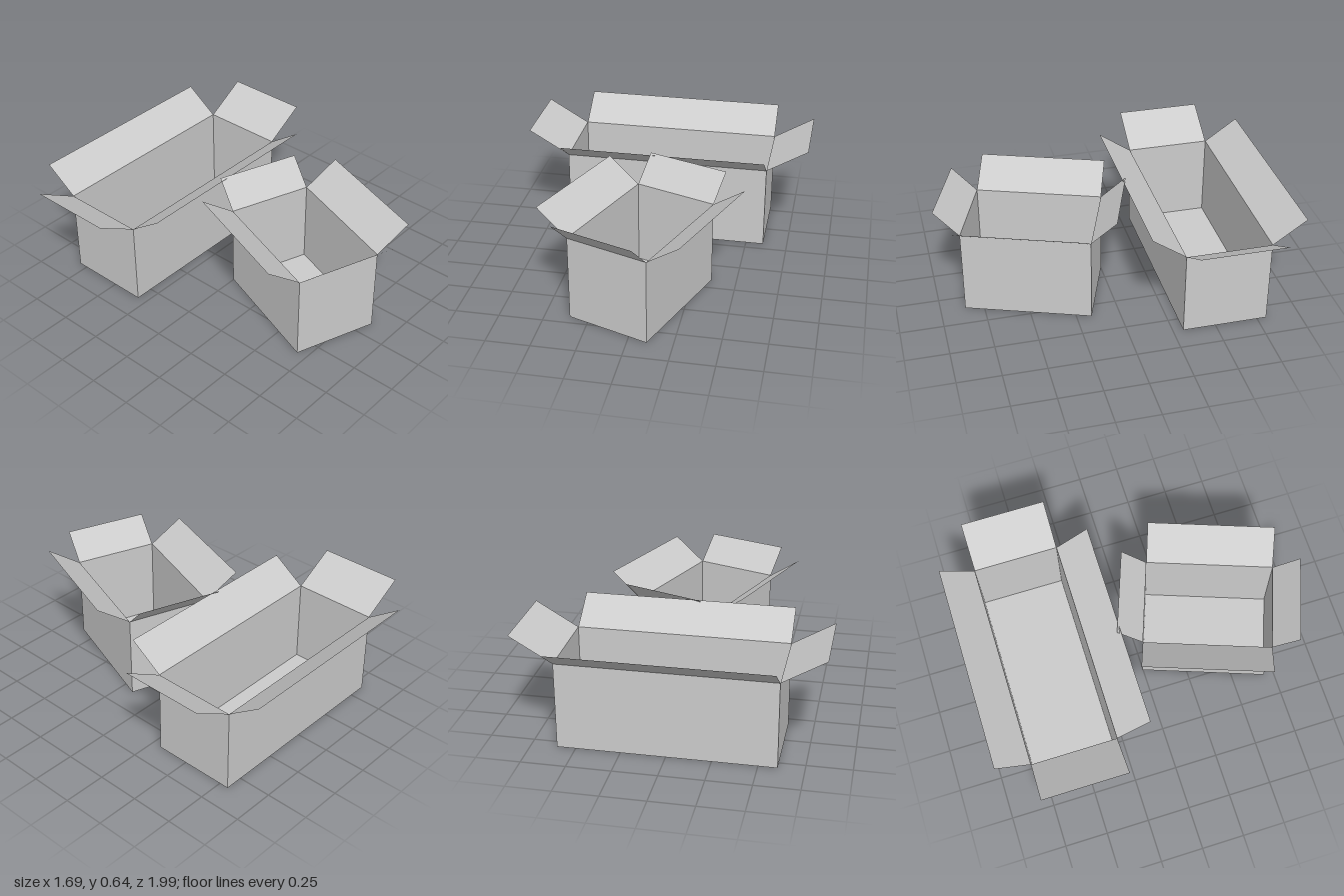
import * as THREE from 'three';

const cardboard = new THREE.MeshStandardMaterial({ color: 0xcccccc, side: THREE.DoubleSide, flatShading: true });

// Flat four-cornered sheet, corners counter-clockwise seen from outside
function panel(name, a, b, c, d) {
  const geometry = new THREE.BufferGeometry();
  geometry.setAttribute('position', new THREE.Float32BufferAttribute([a, b, c, d].flat(), 3));
  geometry.setIndex([0, 1, 2, 0, 2, 3]);
  geometry.computeVertexNormals();
  const mesh = new THREE.Mesh(geometry, cardboard);
  mesh.name = name;
  return mesh;
}

// Open carton: floor, four walls and a splayed flap hinged on each wall.
// Flap sizes are [outward reach, rise].
function openBox(name, width, height, depth, xFlap, zFlap) {
  const box = new THREE.Group();
  box.name = name;
  const x = width / 2, z = depth / 2;
  box.add(panel('floor', [-x, 0, -z], [x, 0, -z], [x, 0, z], [-x, 0, z]));

  ['front', 'left', 'back', 'right'].forEach((sideName, i) => {
    const [half, out, [reach, rise]] = i % 2 ? [z, x, xFlap] : [x, z, zFlap];
    const side = new THREE.Group();
    side.name = sideName + 'Side';
    side.rotation.y = i * Math.PI / 2;
    side.add(
      panel(sideName + 'Wall', [-half, 0, out], [half, 0, out], [half, height, out], [-half, height, out]),
      panel(sideName + 'Flap', [-half, height, out], [half, height, out],
        [half, height + rise, out + reach], [-half, height + rise, out + reach])
    );
    box.add(side);
  });
  return box;
}

export function createModel() {
  const model = new THREE.Group();
  model.name = 'openBoxes';

  // Long box at the back
  const longBox = openBox('longBox', 1.21, 0.5, 0.495, [0.24, 0.142], [0.193, 0.135]);
  longBox.position.z = -0.557;

  // Shorter box turned in front of it
  const shortBox = openBox('shortBox', 0.495, 0.5, 0.737, [0.193, 0.135], [0.145, 0.142]);
  shortBox.position.set(-0.002, 0, 0.427);
  shortBox.rotation.y = -0.347;

  model.add(longBox, shortBox);
  return model;
}
